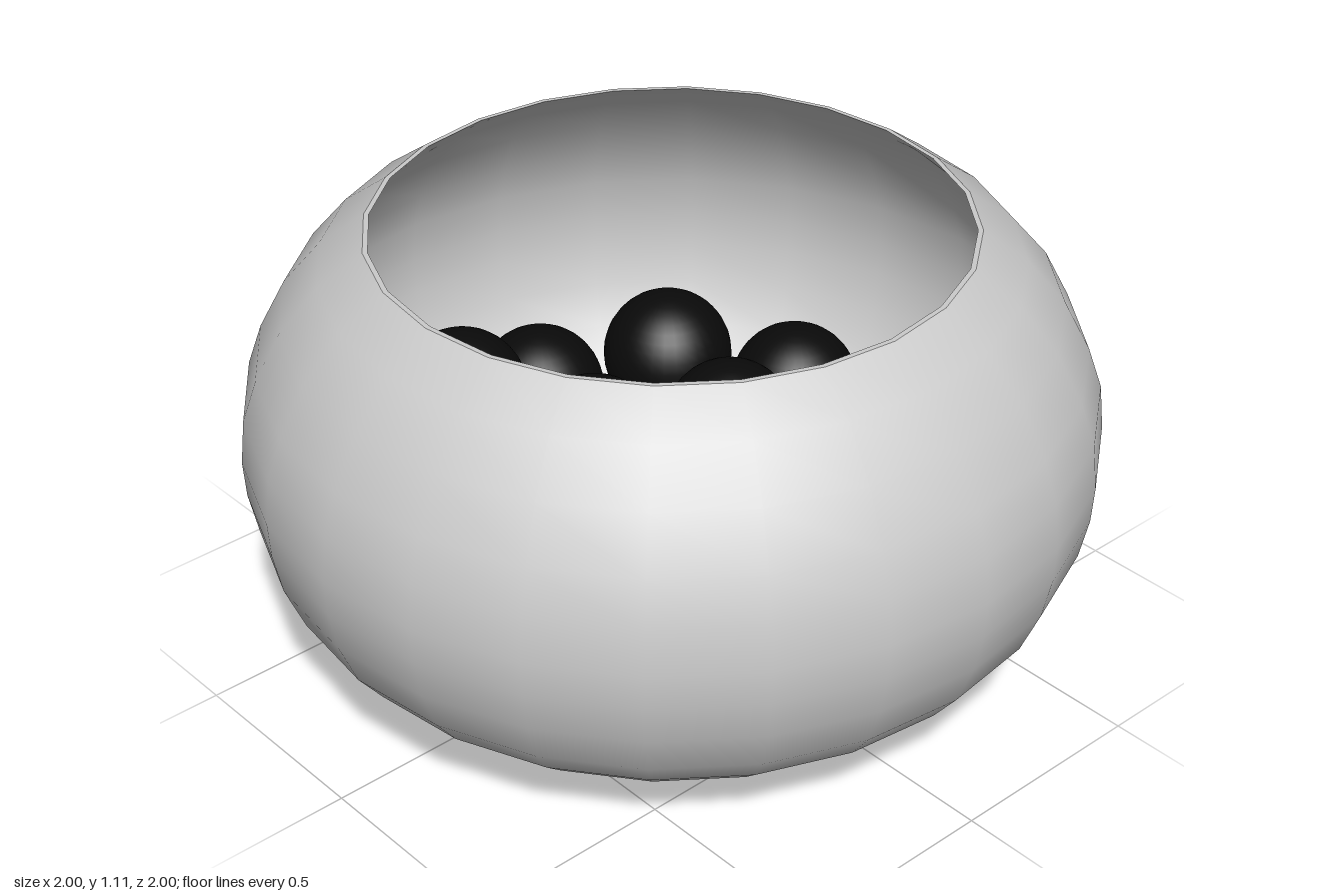
import * as THREE from 'three';

const SIDES = 24;
const BALL_RADIUS = 0.163;

// Turns [radius, height] pairs into a named mesh; upward profiles face outward
function lathe(name, profile, material) {
  const points = profile.map(([r, y]) => new THREE.Vector2(r, y));
  const mesh = new THREE.Mesh(new THREE.LatheGeometry(points, SIDES), material);
  mesh.name = name;
  return mesh;
}

export function createModel() {
  const model = new THREE.Group();
  model.name = 'bowlOfBalls';

  const ceramic = new THREE.MeshStandardMaterial({ color: 0xcccccc });
  const thin = new THREE.MeshStandardMaterial({ color: 0xcccccc, side: THREE.DoubleSide });
  const black = new THREE.MeshStandardMaterial({ color: 0x0a0a0a });

  // Bowl walls: a rounded outer profile and the same profile moved inward
  const outer = [
    [0.55, 0.04], [0.686, 0.09], [0.787, 0.148], [0.868, 0.22], [0.93, 0.3], [0.975, 0.41],
    [0.995, 0.51], [1, 0.6], [0.988, 0.71], [0.953, 0.81], [0.89, 0.93], [0.8, 1.035], [0.695, 1.11],
  ];
  const inner = outer.map(([r, y], i) => [r - 0.012, i === outer.length - 1 ? y : y + (0.6 - y) * 0.025]);
  const last = outer.length - 1;

  const bowl = new THREE.Group();
  bowl.name = 'bowl';
  bowl.add(
    lathe('outerWall', outer, ceramic),
    lathe('innerWall', [...inner].reverse(), ceramic),
    lathe('rim', [outer[last], inner[last]], ceramic),
    lathe('underside', [[0, 0.04], [0.55, 0.04]], ceramic),
    lathe('innerFloor', [inner[0], [0, inner[0][1]]], ceramic),
    lathe('footRing', [[0.557, 0], [0.55, 0.04]], thin),
  );
  model.add(bowl);

  // Balls heaped in the bowl: centre x, y, z
  const centres = [
    // upper layer
    [-0.20, 0.46, 0.07], [0.28, 0.45, -0.01], [0.07, 0.45, 0.28],
    [-0.11, 0.40, -0.29], [0.53, 0.39, -0.06], [0.11, 0.36, -0.53],
    [-0.44, 0.42, -0.38], [-0.57, 0.47, 0.18], [-0.43, 0.385, 0.5],
    // lower layer
    [-0.20, 0.34, -0.6], [0.38, 0.29, -0.52], [0.35, 0.23, -0.36],
    [0.23, 0.33, -0.22], [0.6, 0.31, 0.25], [0.3, 0.29, 0.23],
    [0.38, 0.33, 0.53], [0.07, 0.28, 0.46], [-0.14, 0.365, 0.62],
    [-0.21, 0.3, 0.27], [-0.65, 0.32, -0.13], [-0.32, 0.31, -0.08], [0.03, 0.22, 0.02],
  ];
  const ballShape = new THREE.SphereGeometry(BALL_RADIUS, 32, 20);
  const balls = new THREE.Group();
  balls.name = 'balls';
  for (const centre of centres) {
    const ball = new THREE.Mesh(ballShape, black);
    ball.name = 'ball';
    ball.position.set(...centre);
    balls.add(ball);
  }
  model.add(balls);

  return model;
}
